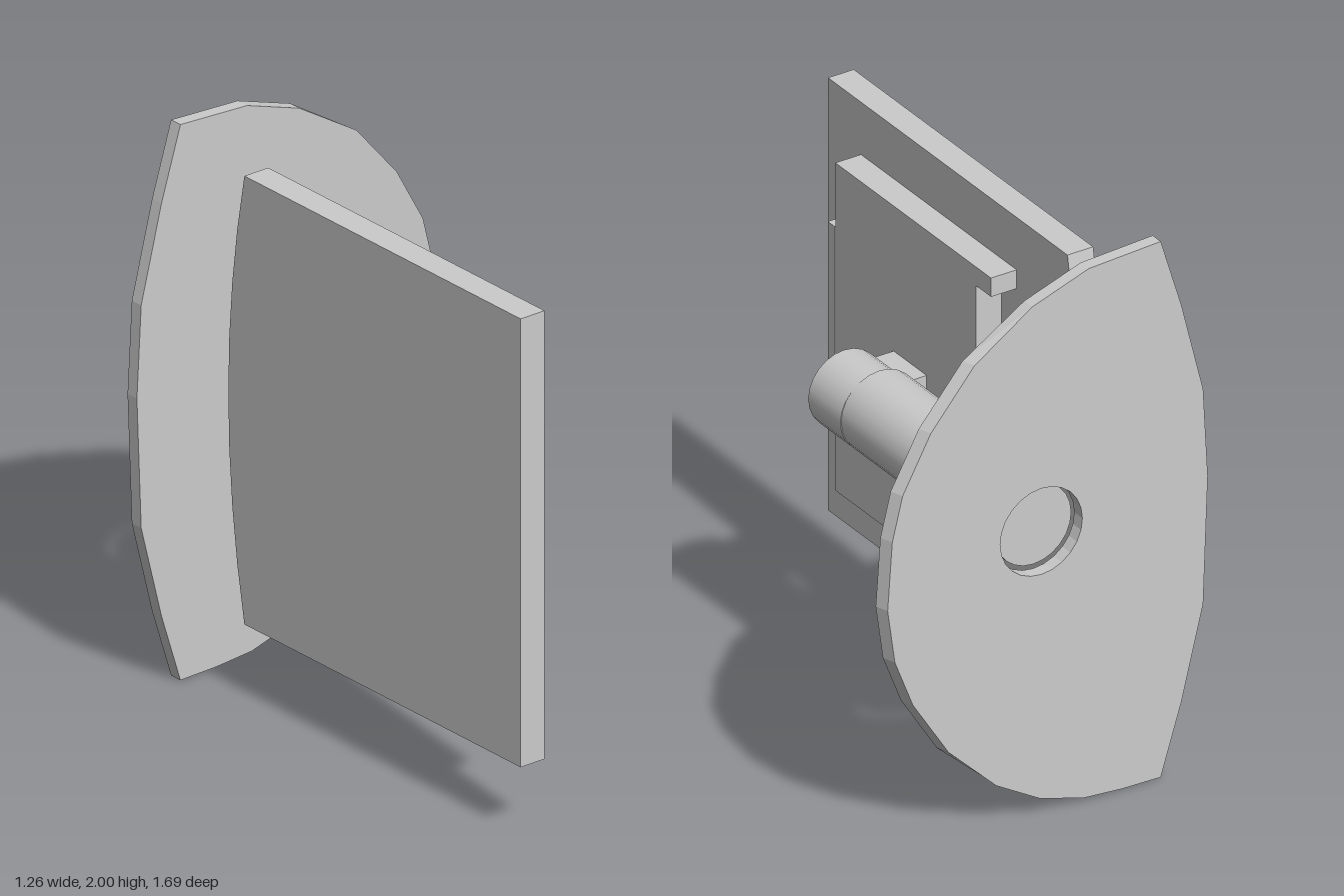
import * as THREE from 'three';

const flat = new THREE.MeshStandardMaterial({ color: 0xcccccc, flatShading: true });
const smooth = new THREE.MeshStandardMaterial({ color: 0xcccccc });

function add(group, name, geometry, material = flat) {
  const mesh = new THREE.Mesh(geometry, material);
  mesh.name = name;
  group.add(mesh);
  return mesh;
}

// Box from its minimum and maximum corners
function box(group, name, [x0, y0, z0], [x1, y1, z1]) {
  add(group, name, new THREE.BoxGeometry(x1 - x0, y1 - y0, z1 - z0))
    .position.set((x0 + x1) / 2, (y0 + y1) / 2, (z0 + z1) / 2);
}

// Upright plate drawn as (-z, y) and extruded along +x
function sidePlate(group, name, shape, x, thickness) {
  const geo = new THREE.ExtrudeGeometry(shape, { depth: thickness, bevelEnabled: false, curveSegments: 8 });
  geo.rotateY(Math.PI / 2);
  add(group, name, geo).position.x = x;
}

// Round rod along z
function rod(group, name, x, y, z0, z1, radius) {
  const geo = new THREE.CylinderGeometry(radius, radius, z1 - z0, 24);
  geo.rotateX(Math.PI / 2);
  add(group, name, geo, smooth).position.set(x, y, (z0 + z1) / 2);
}

const points = (list) => list.map(([x, y]) => new THREE.Vector2(x, y));

export function createModel() {
  const group = new THREE.Group();

  // Large side panel with a bowed rear edge
  const panel = new THREE.Shape();
  panel.moveTo(-0.845, 0.265);
  panel.lineTo(0.57, 0.265);
  panel.quadraticCurveTo(0.735, 1.07, 0.57, 1.875);
  panel.lineTo(-0.845, 1.875);
  panel.closePath();
  sidePlate(group, 'sidePanel', panel, -0.37, 0.1);

  // Inner plate with a short tab at its upper and lower rear corners
  const inner = new THREE.Shape(points([
    [-0.65, 0.46], [0.27, 0.46], [0.27, 0.53], [0.18, 0.53],
    [0.18, 1.61], [0.27, 1.61], [0.27, 1.68], [-0.65, 1.68],
  ]));
  sidePlate(group, 'innerPlate', inner, -0.27, 0.1);

  // Handle strip and the block joining plate and shaft
  box(group, 'handleStrip', [-0.27, 0.78, 0.73], [-0.22, 1.39, 0.77]);
  box(group, 'shaftBracket', [-0.17, 1.0, 0.11], [-0.075, 1.14, 0.305]);

  // Shaft with a slightly narrower front end
  rod(group, 'shaft', 0.015, 1.067, -0.8, 0.11, 0.148);
  rod(group, 'shaftEnd', 0.026, 1.067, 0.11, 0.3, 0.14);

  // Rear shield: rounded on the left, shallow arc on the right, round hole
  const shield = new THREE.Shape(points([
    [-0.45, 0.005], [-0.3, 0.008], [-0.15, 0.02], [0.02, 0.07], [0.19, 0.17], [0.39, 0.35],
    [0.53, 0.57], [0.6, 0.75], [0.628, 0.95], [0.61, 1.2], [0.57, 1.36],
    [0.46, 1.56], [0.29, 1.76], [0.05, 1.91], [-0.17, 1.985], [-0.45, 2.0],
    [-0.53, 1.74], [-0.615, 1.4], [-0.633, 1.07], [-0.615, 0.6], [-0.53, 0.26],
  ]));
  const hole = new THREE.Path();
  hole.absarc(0.015, 1.063, 0.16, 0, Math.PI * 2, true);
  shield.holes.push(hole);
  const geo = new THREE.ExtrudeGeometry(shield, { depth: 0.048, bevelEnabled: false, curveSegments: 12 });
  // The rim on the round side tapers in slightly towards the back
  const pos = geo.attributes.position;
  for (let i = 0; i < pos.count; i++) {
    if (pos.getZ(i) < 0.01 && pos.getX(i) > 0.2) pos.setX(i, pos.getX(i) - 0.015);
  }
  add(group, 'rearShield', geo).position.z = -0.848;

  return group;
}
